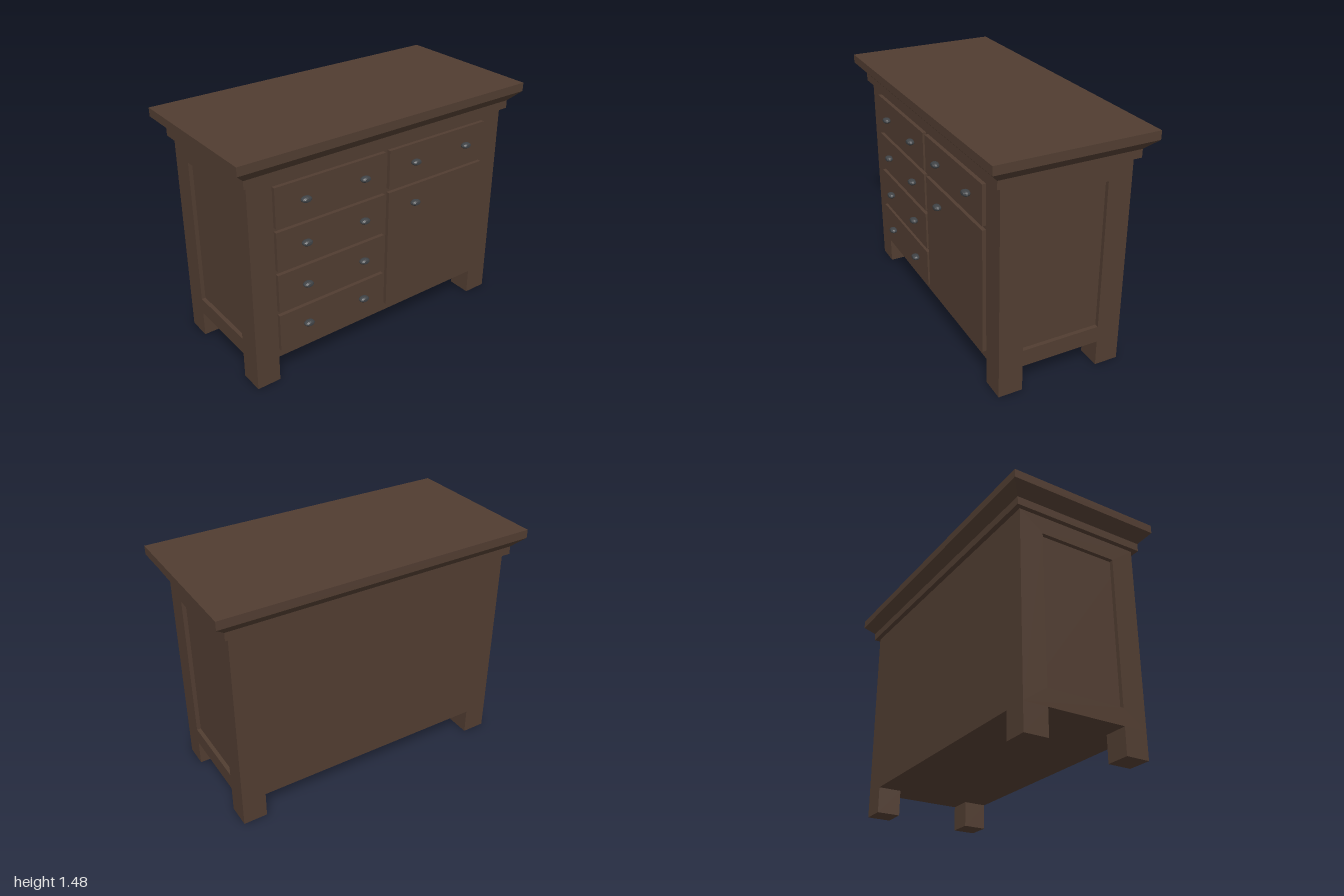
import * as THREE from 'three';

const wood = new THREE.MeshStandardMaterial({ color: 0x513d31 });
const iron = new THREE.MeshStandardMaterial({ color: 0x3f4245, flatShading: true });

const X0 = -0.397, X1 = 0.397; // cabinet depth
const Z = 0.907;               // half the cabinet width
const POST = 0.15;             // corner post width
const BASE = 0.165, TOP = 1.31;
const FACE = 0.42;             // outer face of the drawers
const RECESS = 0.025;

export function createModel() {
  const model = new THREE.Group();

  function add(name, geometry, material = wood) {
    const mesh = new THREE.Mesh(geometry, material);
    mesh.name = name;
    model.add(mesh);
    return mesh;
  }

  // Box given by its lower and upper corners
  function box(name, x0, x1, y0, y1, z0, z1) {
    const g = new THREE.BoxGeometry(x1 - x0, y1 - y0, z1 - z0);
    g.translate((x0 + x1) / 2, (y0 + y1) / 2, (z0 + z1) / 2);
    return add(name, g);
  }

  function rect(path, x0, x1, y0, y1) {
    path.moveTo(x0, y0);
    path.lineTo(x1, y0);
    path.lineTo(x1, y1);
    path.lineTo(x0, y1);
    path.closePath();
    return path;
  }

  // Carcass, with a frame around a recessed panel at each end
  box('carcass', X0, X1, BASE, TOP, -Z + RECESS, Z - RECESS);
  const frame = rect(new THREE.Shape(), X0, X1, BASE, TOP);
  frame.holes.push(rect(new THREE.Path(), X0 + POST, X1 - POST, 0.27, 1.2));
  for (const z of [-Z, Z - RECESS]) {
    const g = new THREE.ExtrudeGeometry(frame, { depth: RECESS, bevelEnabled: false });
    add('endPanelFrame', g.translate(0, 0, z));
  }

  // Four square legs
  for (const x of [X0, X1 - POST])
    for (const z of [-Z, Z - POST])
      box('leg', x, x + POST, 0, BASE, z, z + POST);

  // Crown: neck moulding, flaring bevel and top slab
  box('neckMoulding', -0.428, 0.428, TOP, 1.36, -0.935, 0.935);
  const flare = new THREE.BoxGeometry(0.976, 0.063, 2).toNonIndexed();
  const p = flare.attributes.position;
  for (let i = 0; i < p.count; i++) {
    if (p.getY(i) < 0) {
      p.setX(i, Math.sign(p.getX(i)) * 0.428);
      p.setZ(i, Math.sign(p.getZ(i)) * 0.935);
    }
  }
  flare.computeVertexNormals();
  add('crownBevel', flare.translate(0, 1.3915, 0));
  box('topSlab', -0.488, 0.488, 1.423, 1.476, -1, 1);

  // Oval faceted knobs
  const profile = [[0, 0], [0.6, 0], [0.92, 0.011], [1, 0.022], [0.92, 0.033], [0.6, 0.043], [0, 0.045]];
  const knobGeometry = new THREE.LatheGeometry(profile.map(([r, y]) => new THREE.Vector2(r, y)), 16);
  knobGeometry.rotateZ(-Math.PI / 2).scale(1, 0.018, 0.033);
  const knob = (y, z) => add('knob', knobGeometry, iron).position.set(FACE - 0.004, y, z);

  // Drawer stack on one half of the face
  for (const y of [0.22, 0.487, 0.755, 1.021]) {
    box('drawerFront', X1 - 0.01, FACE, y, y + 0.241, 0.015, 0.755);
    knob(y + 0.129, 0.57);
    knob(y + 0.129, 0.173);
  }

  // Single drawer over a cupboard door on the other half
  box('drawerFront', X1 - 0.01, FACE, 1.021, 1.262, -0.755, -0.015);
  knob(1.15, -0.2);
  knob(1.15, -0.597);
  box('door', X1 - 0.01, FACE, 0.22, 0.996, -0.755, -0.015);
  knob(0.884, -0.208);

  return model;
}
